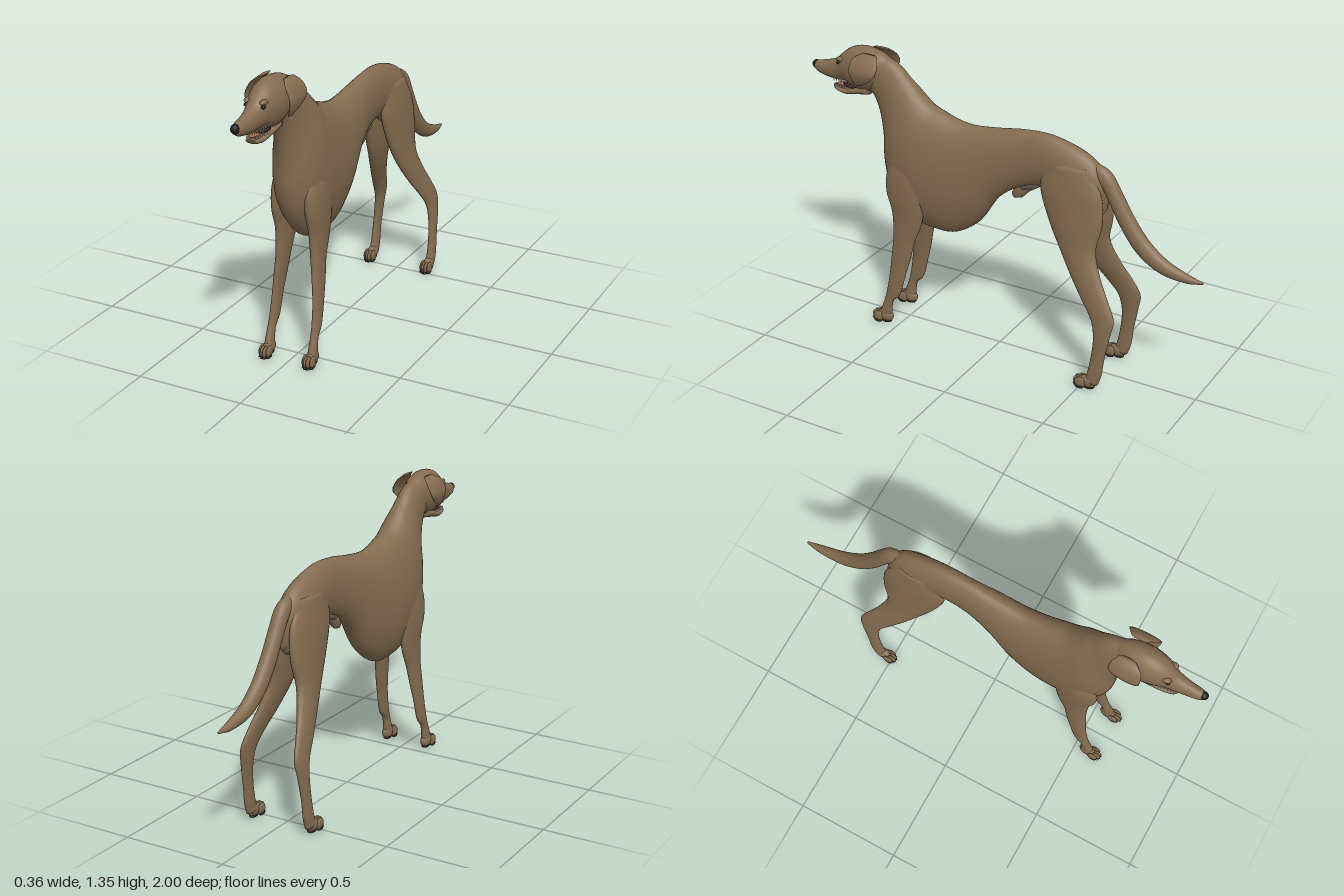
import * as THREE from 'three';

const mat = (name, color) => {
  const m = new THREE.MeshStandardMaterial({ color });
  m.name = name;
  return m;
};

// Smooth loft. Each section: [zA, yA, zB, yB, halfWidth, xCentre]; A and B are opposite edge points.
function loft(sections, { side = 1, steps = 5, sides = 28 } = {}) {
  const curve = (f) => new THREE.CatmullRomCurve3(sections.map(f), false, 'catmullrom', 0.5);
  const edgeA = curve((s) => new THREE.Vector3(0, s[1], s[0]));
  const edgeB = curve((s) => new THREE.Vector3(0, s[3], s[2]));
  const widths = curve((s) => new THREE.Vector3((s[5] || 0) * side, s[4], 0));
  const rings = (sections.length - 1) * steps;
  const pos = [], idx = [];
  for (let i = 0; i <= rings; i++) {
    const t = i / rings, a = edgeA.getPoint(t), b = edgeB.getPoint(t), w = widths.getPoint(t);
    for (let j = 0; j < sides; j++) {
      const th = (j / sides) * Math.PI * 2, k = (1 + Math.cos(th)) / 2;
      pos.push(w.x + Math.sin(th) * w.y, b.y + (a.y - b.y) * k, b.z + (a.z - b.z) * k);
      if (i < rings) {
        const p = i * sides + j, q = i * sides + (j + 1) % sides;
        idx.push(p, q, p + sides, q, q + sides, p + sides);
      }
    }
  }
  // end caps
  for (const [ring, t] of [[0, 0], [rings, 1]]) {
    const c = edgeA.getPoint(t).add(edgeB.getPoint(t)).multiplyScalar(0.5);
    const n = pos.length / 3, o = ring * sides;
    pos.push(widths.getPoint(t).x, c.y, c.z);
    for (let j = 0; j < sides; j++) {
      const p = o + j, q = o + (j + 1) % sides;
      if (ring) idx.push(n, p, q); else idx.push(n, q, p);
    }
  }
  // turn the faces outward if the signed volume is negative
  const v = (i) => new THREE.Vector3().fromArray(pos, i * 3);
  let volume = 0;
  for (let i = 0; i < idx.length; i += 3) volume += v(idx[i]).dot(v(idx[i + 1]).cross(v(idx[i + 2])));
  if (volume < 0) idx.reverse();
  const g = new THREE.BufferGeometry();
  g.setAttribute('position', new THREE.Float32BufferAttribute(pos, 3));
  g.setIndex(idx);
  g.computeVertexNormals();
  return g;
}

export function createModel() {
  const dog = new THREE.Group();
  dog.name = 'dog';
  const coat = mat('coat brown', 0x846c50);
  const black = mat('nose black', 0x1e1c1c);
  const pad = mat('pad dark', 0x2e2926);
  const eyeColor = mat('eye dark brown', 0x2b1d14);
  const white = mat('tooth white', 0xe6e1d6);
  const pink = mat('tongue pink', 0xa5674f);
  const mouthDark = mat('mouth dark', 0x3c2722);
  const grey = mat('skin grey', 0x5a5149);

  const add = (name, geometry, material, parent = dog) => {
    const m = new THREE.Mesh(geometry, material);
    m.name = name;
    parent.add(m);
    return m;
  };
  const ball = (name, material, x, y, z, rx, ry, rz, parent = dog) => {
    const m = add(name, new THREE.SphereGeometry(1, 18, 12), material, parent);
    m.position.set(x, y, z);
    m.scale.set(rx, ry, rz);
    return m;
  };

  // trunk and neck in one sweep from rump to skull
  add('body', loft([
    [-.52, .99, -.53, .82, .035],
    [-.47, 1.05, -.48, .77, .062],
    [-.38, 1.095, -.38, .79, .068],
    [-.25, 1.125, -.25, .87, .06],
    [-.12, 1.12, -.12, .845, .06],
    [0, 1.10, 0, .765, .076],
    [.13, 1.085, .10, .62, .092],
    [.22, 1.095, .22, .535, .104],
    [.30, 1.12, .34, .525, .114],
    [.35, 1.14, .46, .56, .118],
    [.40, 1.18, .56, .68, .112],
    [.43, 1.21, .595, .80, .096],
    [.47, 1.245, .60, .93, .077],
    [.51, 1.285, .62, 1.05, .063],
    [.56, 1.315, .655, 1.13, .055],
    [.64, 1.335, .69, 1.15, .055],
  ], { sides: 40 }), coat);

  add('tail', loft([
    [-.44, 1.05, -.47, .95, .025],
    [-.54, 1.015, -.515, .93, .034],
    [-.605, .92, -.55, .87, .034],
    [-.665, .82, -.605, .77, .034],
    [-.74, .725, -.69, .66, .033],
    [-.83, .655, -.80, .592, .029],
    [-.93, .615, -.92, .575, .019],
    [-1, .597, -1, .587, .005],
  ]), coat);

  // head
  const head = new THREE.Group();
  head.name = 'head';
  dog.add(head);
  add('skullAndMuzzle', loft([
    [.56, 1.31, .62, 1.17, .04],
    [.62, 1.342, .66, 1.15, .066],
    [.70, 1.355, .71, 1.14, .074],
    [.77, 1.34, .765, 1.15, .066],
    [.82, 1.305, .80, 1.165, .053],
    [.855, 1.272, .84, 1.165, .041],
    [.91, 1.25, .895, 1.165, .032],
    [.965, 1.237, .955, 1.177, .025],
    [.985, 1.228, .98, 1.19, .016],
  ]), coat, head);
  add('lowerJaw', loft([
    [.68, 1.18, .68, 1.125, .045],
    [.77, 1.148, .76, 1.112, .04],
    [.82, 1.135, .81, 1.103, .034],
    [.862, 1.134, .857, 1.113, .026],
    [.88, 1.14, .877, 1.128, .013],
  ]), coat, head);
  ball('mouthInside', mouthDark, 0, 1.152, .775, .034, .017, .05, head);
  ball('tongue', pink, 0, 1.143, .82, .02, .008, .048, head);
  ball('nose', black, 0, 1.215, .978, .019, .021, .022, head);
  for (const s of [1, -1]) {
    const nm = s > 0 ? 'left' : 'right';
    ball(nm + 'EyeRim', black, s * .0385, 1.264, .824, .009, .009, .013, head);
    ball(nm + 'Eye', eyeColor, s * .0405, 1.264, .828, .0085, .0075, .0095, head);
    ball(nm + 'Brow', coat, s * .036, 1.281, .817, .015, .011, .022, head);
    add(nm + 'Ear', loft([
      [.685, 1.34, .605, 1.338, .011, .055],
      [.722, 1.315, .585, 1.31, .011, .083],
      [.728, 1.27, .585, 1.265, .010, .104],
      [.722, 1.23, .625, 1.225, .009, .099],
      [.71, 1.195, .675, 1.195, .006, .086],
    ], { side: s }), coat, head);
    // teeth along both jaws
    for (let i = 0; i < 7; i++) {
      const z = .775 + i * .0145, x = s * (.036 - i * .0024);
      const lower = add(nm + 'LowerTooth', new THREE.ConeGeometry(.0045, .018, 6), white, head);
      lower.position.set(x * .85, 1.147 - i * .0008, z);
      const upper = add(nm + 'UpperTooth', new THREE.ConeGeometry(.0045, .016, 6), white, head);
      upper.position.set(x * .7, 1.163, z + .012);
      upper.rotation.x = Math.PI;
    }
  }

  // a paw with four toes, claws and dark pads
  const paw = (name, x, z, parent) => {
    const g = new THREE.Group();
    g.name = name;
    g.position.set(x, 0, z);
    parent.add(g);
    ball('instep', coat, 0, .042, -.012, .023, .032, .042, g);
    ball('heelPad', pad, 0, .017, -.014, .018, .013, .03, g);
    for (let i = 0; i < 4; i++) {
      const k = i - 1.5, reach = Math.abs(k) < 1 ? .032 : .02;
      ball('toe', coat, k * .0125, .036, reach, .0095, .027, .027, g);
      ball('toePad', pad, k * .0125, .014, reach + .003, .009, .01, .022, g);
      const claw = add('claw', new THREE.ConeGeometry(.0055, .026, 8), pad, g);
      claw.position.set(k * .0125, .02, reach + .023);
      claw.rotation.x = 2.3;
    }
  };

  // legs
  for (const s of [1, -1]) {
    const nm = s > 0 ? 'left' : 'right';
    const front = new THREE.Group(), hind = new THREE.Group();
    front.name = nm + 'FrontLeg';
    hind.name = nm + 'HindLeg';
    dog.add(front, hind);
    add('foreleg', loft([
      [.50, .92, .37, .92, .03, .07],
      [.55, .80, .35, .80, .04, .078],
      [.555, .70, .355, .67, .038, .082],
      [.528, .60, .372, .56, .031, .082],
      [.522, .48, .41, .46, .025, .086],
      [.53, .38, .43, .37, .021, .094],
      [.54, .28, .455, .28, .018, .101],
      [.555, .19, .485, .175, .018, .105],
      [.57, .13, .525, .125, .017, .107],
      [.592, .07, .535, .06, .02, .108],
      [.60, .035, .54, .03, .018, .108],
    ], { side: s }), coat, front);
    paw('frontPaw', s * .108, .58, front);
    add('thighAndShank', loft([
      [-.26, 1.02, -.46, 1.02, .028, .035],
      [-.23, .90, -.53, .90, .038, .045],
      [-.28, .75, -.54, .77, .041, .055],
      [-.35, .62, -.52, .65, .036, .071],
      [-.425, .505, -.56, .54, .028, .098],
      [-.49, .42, -.612, .45, .022, .122],
      [-.54, .35, -.65, .37, .02, .137],
      [-.558, .27, -.638, .29, .019, .146],
      [-.553, .18, -.618, .18, .017, .151],
      [-.54, .10, -.607, .09, .019, .153],
      [-.525, .05, -.59, .035, .02, .153],
    ], { side: s }), coat, hind);
    paw('hindPaw', s * .153, -.53, hind);
  }

  // small underbelly fold with bare grey skin
  add('underbellyFold', loft([
    [-.065, .81, -.08, .78, .012],
    [-.09, .845, -.115, .79, .02],
    [-.14, .88, -.15, .825, .02],
    [-.21, .90, -.21, .865, .014],
  ]), coat);
  ball('bareSkin', grey, 0, .853, -.145, .026, .018, .05).rotation.x = .35;

  return dog;
}
